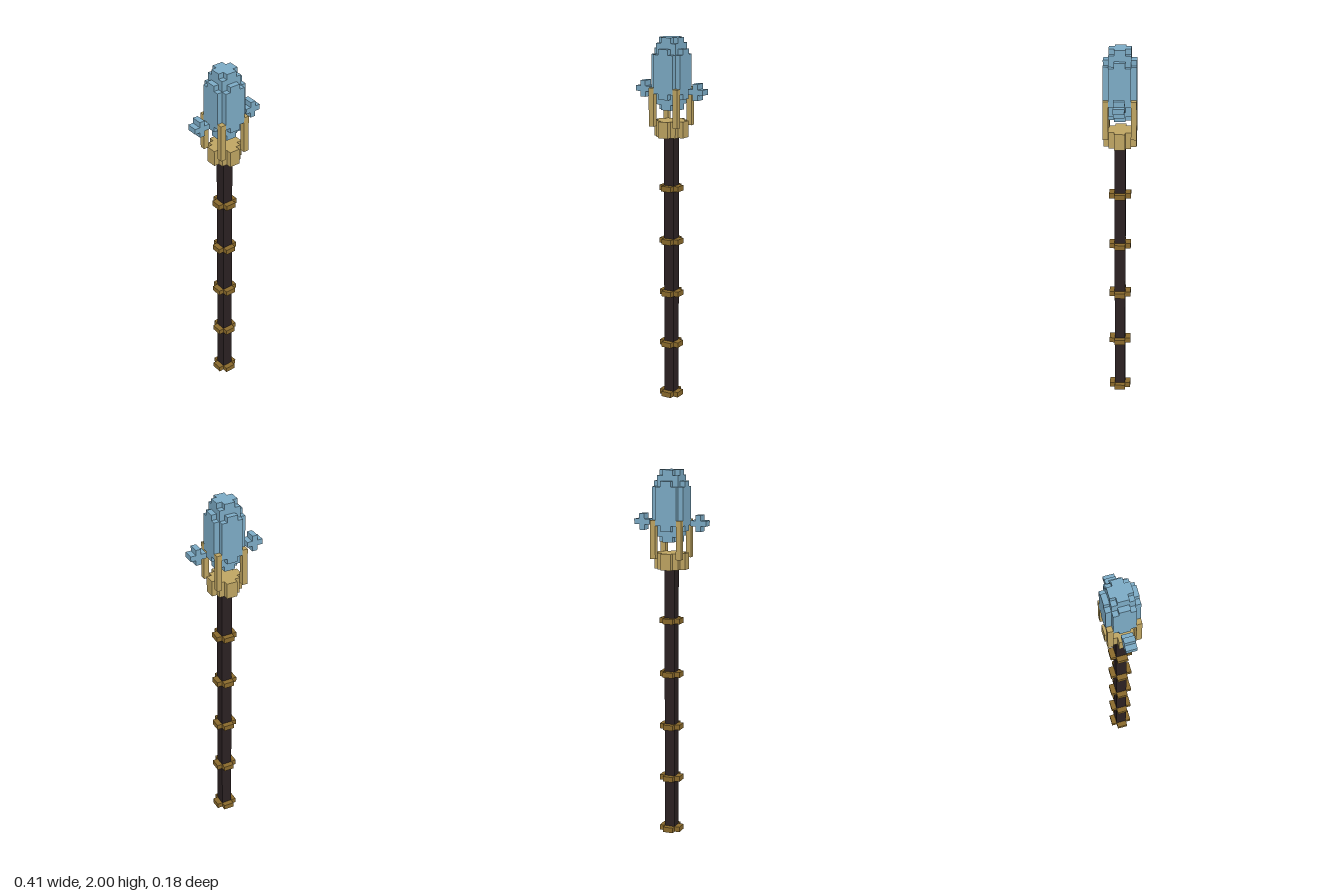
import * as THREE from 'three';

const U = 2 / 68.5; // one block

// Stepped plans with four-fold symmetry: outer corners of one quadrant, in blocks
const SQUARE = [[2, 2]];
const SMALL_CROSS = [[2, 1], [1, 2]];
const STEPPED = [[3, 1], [2, 2], [1, 3]];
const WIDE_CROSS = [[3, 2], [2, 3]];
const PLUS = [[1.5, 0.5], [0.5, 1.5]];

function planShape(corners) {
  const quadrant = [];
  corners.forEach(([x, y], i) => {
    if (i) quadrant.push([x, corners[i - 1][1]]);
    quadrant.push([x, y]);
  });
  const points = [];
  for (let q = 0; q < 4; q++) {
    for (const [x, y] of quadrant) {
      const [px, py] = [[x, y], [-y, x], [-x, -y], [y, -x]][q];
      points.push(new THREE.Vector2(px * U, py * U));
    }
  }
  return new THREE.Shape(points);
}

// Upright prism standing on its own origin
function prism(corners, height) {
  const geometry = new THREE.ExtrudeGeometry(planShape(corners), { depth: height, bevelEnabled: false });
  return geometry.rotateX(-Math.PI / 2);
}

export function createModel() {
  const model = new THREE.Group();
  model.name = 'staff';
  const material = (name, color) => {
    const m = new THREE.MeshStandardMaterial({ color, flatShading: true });
    m.name = name;
    return m;
  };
  const crystalBlue = material('crystalBlue', 0x7cabc5);
  const paleGold = material('paleGold', 0xbfa562);
  const darkGold = material('darkGold', 0x8a6a2c);
  const darkWood = material('darkWood', 0x2b2122);

  const add = (parent, name, geometry, mat, x, y, z) => {
    const mesh = new THREE.Mesh(geometry, mat);
    mesh.name = name;
    mesh.position.set(x, y, z);
    parent.add(mesh);
    return mesh;
  };

  // Shaft, standing on the foot ring
  const baseY = 50.5 * U;
  add(model, 'shaft', new THREE.BoxGeometry(2 * U, baseY - U, 2 * U), darkWood, 0, (baseY + U) / 2, 0);

  // Evenly spaced rings, the lowest being the foot
  const ring = prism(SMALL_CROSS, U);
  for (let i = 0; i < 5; i++) add(model, i ? 'ring' : 'foot', ring, darkGold, 0, i * 0.295, 0);

  // Socket with four corner prongs
  const socket = new THREE.Group();
  socket.name = 'socket';
  model.add(socket);
  add(socket, 'socketBase', prism(STEPPED, 3 * U), paleGold, 0, baseY, 0);
  const prong = new THREE.BoxGeometry(U, 7 * U, U);
  for (const sx of [-1, 1]) {
    for (const sz of [-1, 1]) {
      add(socket, 'prong', prong, paleGold, sx * 2.5 * U, baseY + 5.5 * U, sz * 2.5 * U);
    }
  }

  // Floating crystal, stacked from stepped layers
  const crystal = new THREE.Group();
  crystal.name = 'crystal';
  model.add(crystal);
  let y = 55.5 * U;
  const layers = [
    [SMALL_CROSS, 1], [SQUARE, 1], [STEPPED, 1], [WIDE_CROSS, 7],
    [STEPPED, 1], [SQUARE, 1], [SMALL_CROSS, 1],
  ];
  for (const [plan, count] of layers) {
    add(crystal, 'crystalLayer', prism(plan, count * U), crystalBlue, 0, y, 0);
    y += count * U;
  }

  // Small plus-shaped shards floating on either side
  const shard = new THREE.ExtrudeGeometry(planShape(PLUS), { depth: 2 * U, bevelEnabled: false });
  shard.translate(0, 0, -U);
  for (const side of [-1, 1]) {
    add(model, side > 0 ? 'leftShard' : 'rightShard', shard, crystalBlue, side * 5.5 * U, 59 * U, 0);
  }

  return model;
}
